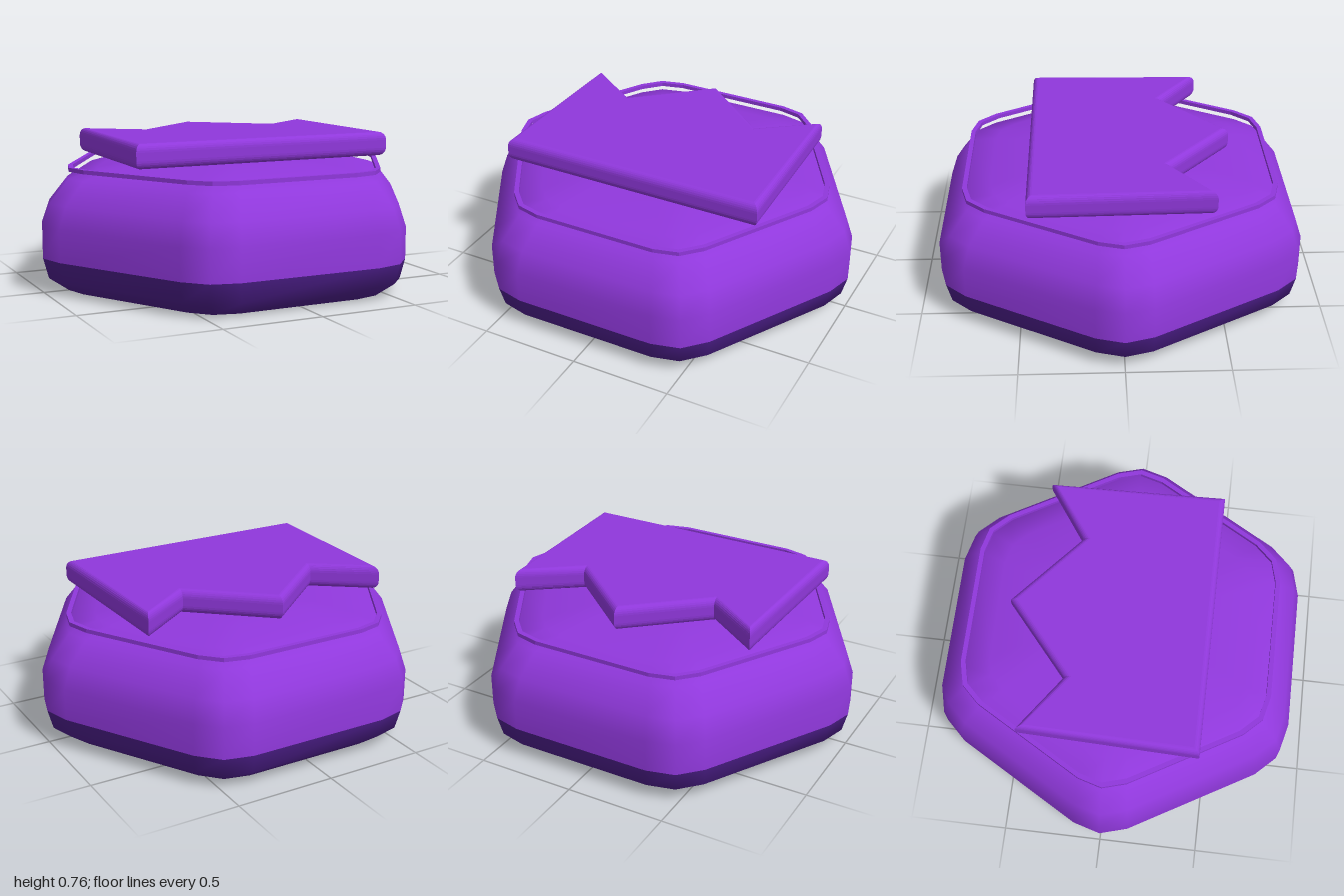
import * as THREE from 'three';

// Rounded hexagon outline, three points per corner, scaled by s
function hexOutline(s) {
  const pts = [];
  for (let c = 0; c < 6; c++) {
    for (const [off, r] of [[-8.2, 0.97], [0, 1], [8.2, 0.97]]) {
      const a = THREE.MathUtils.degToRad(c * 60 + off);
      pts.push(new THREE.Vector2(Math.cos(a) * r * s, Math.sin(a) * r * s));
    }
  }
  return pts;
}

// Skin a stack of hexagon sections, given from bottom to top as [scale, y]
function loftHex(sections) {
  const n = 18, pos = [], idx = [];
  for (const [s, y] of sections) {
    for (const p of hexOutline(s)) pos.push(p.x, y, p.y);
  }
  for (let i = 0; i < sections.length - 1; i++) {
    for (let j = 0; j < n; j++) {
      const a = i * n + j, b = i * n + (j + 1) % n;
      idx.push(a, a + n, b, b, a + n, b + n);
    }
  }
  const g = new THREE.BufferGeometry();
  g.setAttribute('position', new THREE.Float32BufferAttribute(pos, 3));
  g.setIndex(idx);
  g.computeVertexNormals();
  return g;
}

export function createModel() {
  const group = new THREE.Group();
  const purple = new THREE.MeshStandardMaterial({ color: 0x9038dc });
  purple.name = 'purple';
  const darkPurple = new THREE.MeshStandardMaterial({ color: 0x4e1f8c });
  darkPurple.name = 'dark purple';

  const add = (name, geometry, material) => {
    const mesh = new THREE.Mesh(geometry, material);
    mesh.name = name;
    group.add(mesh);
  };

  // Dark underside and lower band
  add('base', loftHex([[0.001, 0], [0.6, 0], [0.873, 0], [0.973, 0.07], [1, 0.17]]), darkPurple);

  // Rounded body with a shallow domed top
  add('body', loftHex([
    [1, 0.17], [1, 0.33], [0.96, 0.44], [0.863, 0.555],
    [0.71, 0.593], [0.5, 0.622], [0.32, 0.637], [0.001, 0.638],
  ]), purple);

  // Thin hexagonal trim ring around the dome
  const ringShape = new THREE.Shape(hexOutline(0.86));
  ringShape.holes.push(new THREE.Path(hexOutline(0.835)));
  const ring = new THREE.ExtrudeGeometry(ringShape, { depth: 0.02, bevelEnabled: false });
  ring.rotateX(-Math.PI / 2).translate(0, 0.59, 0);
  add('trimRing', ring, purple);

  // Three-pointed crown lying flat, points towards the back
  const half = [[0.65, -0.42], [0.635, 0.404], [0.368, 0.205]];
  const outline = [
    ...half, [0, 0.52],
    ...half.map(([x, y]) => [-x, y]).reverse(),
  ].map(([x, y]) => new THREE.Vector2(x, y));
  const crown = new THREE.ExtrudeGeometry(new THREE.Shape(outline), {
    depth: 0.04, bevelThickness: 0.04, bevelSize: 0.03, bevelSegments: 6,
  });
  crown.rotateX(-Math.PI / 2).translate(0, 0.68, 0);
  add('crown', crown, purple);

  return group;
}
